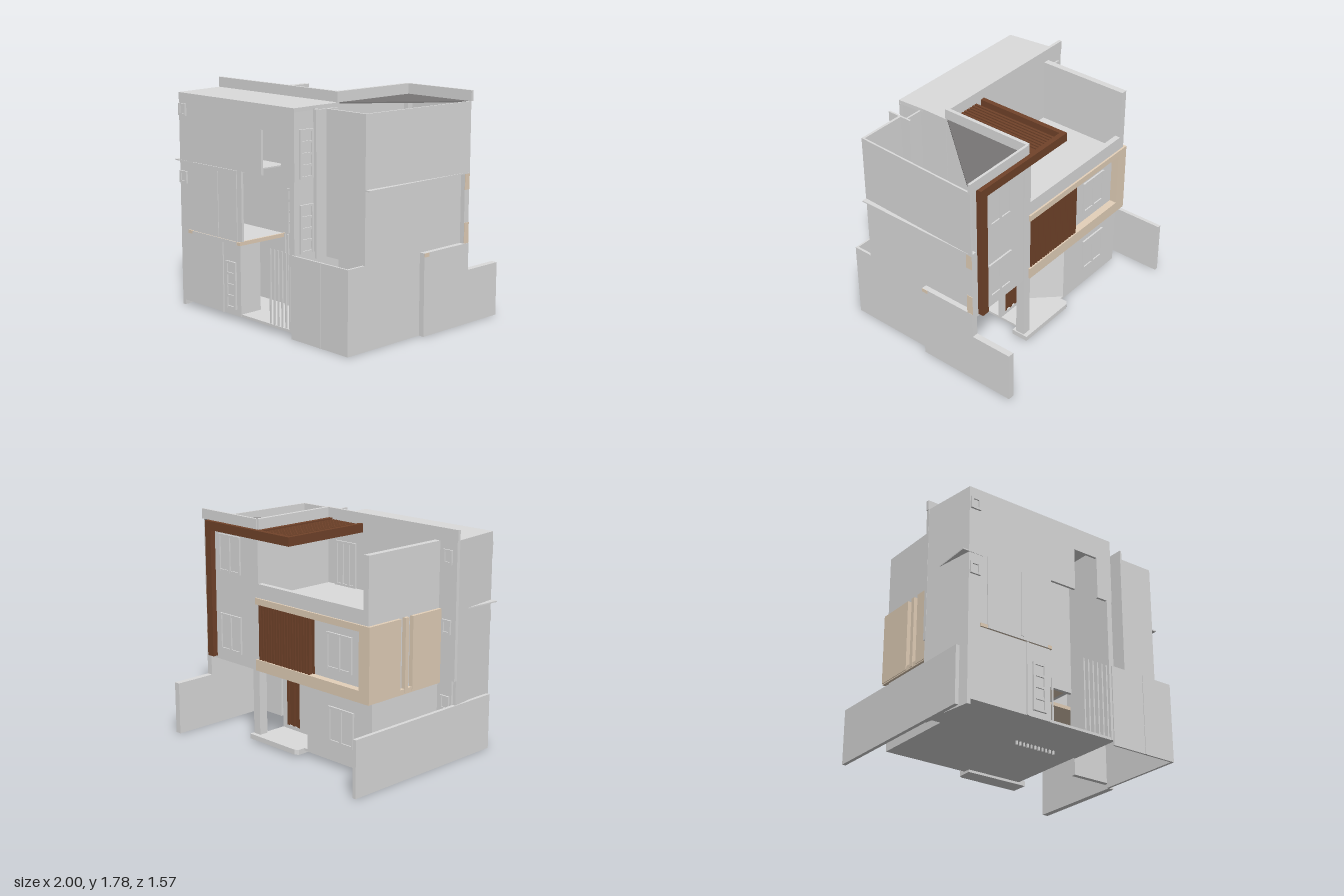
import * as THREE from 'three';

const mat = (name, color) => {
  const m = new THREE.MeshStandardMaterial({ color, side: THREE.DoubleSide });
  m.name = name;
  return m;
};

export function createModel() {
  const house = new THREE.Group();
  house.name = 'house';
  const plaster = mat('greyPlaster', 0xdcdcdc);
  const tan = mat('tanCladding', 0xe4d1ba);
  const wood = mat('brownWood', 0x71432a);
  const slate = mat('darkRoof', 0x787676);

  // box given by its extents along each axis
  const box = (name, m, x0, x1, y0, y1, z0, z1, parent = house) => {
    const mesh = new THREE.Mesh(new THREE.BoxGeometry(x1 - x0, y1 - y0, z1 - z0), m);
    mesh.position.set((x0 + x1) / 2, (y0 + y1) / 2, (z0 + z1) / 2);
    mesh.name = name;
    parent.add(mesh);
  };

  // flat polygon of [x, z] corners raised between two heights
  const prism = (name, m, pts, y0, y1) => {
    const s = new THREE.Shape(pts.map(([x, z]) => new THREE.Vector2(x, -z)));
    const g = new THREE.ExtrudeGeometry(s, { depth: y1 - y0, bevelEnabled: false });
    g.rotateX(-Math.PI / 2);
    const mesh = new THREE.Mesh(g, m);
    mesh.position.y = y0;
    mesh.name = name;
    house.add(mesh);
  };

  // framed opening with a grid of panes, built facing +z then turned
  const framed = (name, m, x, y, z, w, h, cols, rows, turn = 0) => {
    const g = new THREE.Group();
    g.name = name;
    const t = 0.018;
    box('pane', m, -w / 2, w / 2, -h / 2, h / 2, 0, 0.004, g);
    for (let i = 0; i <= cols; i++) {
      const c = -w / 2 + t / 2 + (i * (w - t)) / cols;
      box('upright', m, c - t / 2, c + t / 2, -h / 2, h / 2, 0, 0.016, g);
    }
    for (let j = 0; j <= rows; j++) {
      const c = -h / 2 + t / 2 + (j * (h - t)) / rows;
      box('rail', m, -w / 2, w / 2, c - t / 2, c + t / 2, 0, 0.014, g);
    }
    g.position.set(x, y, z);
    g.rotation.y = turn;
    house.add(g);
  };

  // ground slabs and entrance step
  box('groundSlab', plaster, -0.83, 0.36, 0.04, 0.06, -0.42, 0.31);
  box('rearSlab', plaster, -0.93, 0.36, 0.04, 0.06, 0.31, 0.76);
  prism('porchStep', plaster, [[-0.12, -0.48], [-0.09, -0.5], [0.42, -0.5], [0.42, -0.36], [-0.12, -0.36]], 0.02, 0.06);

  // boundary walls
  box('leftBoundaryWall', plaster, -1, -0.97, 0, 0.44, -0.76, 0.71);
  box('rightBoundaryLow', plaster, 0.94, 0.99, 0, 0.42, -0.79, -0.45);
  box('rightBoundaryHigh', plaster, 0.94, 0.99, 0, 0.63, -0.45, 0.04);
  box('pierCap', tan, 0.99, 0.993, 0.6, 0.63, -0.01, 0.04);
  box('rightBoundaryEnd', plaster, 0.925, 0.945, 0, 0.63, 0.04, 0.775);
  box('rearBoundaryWall', plaster, 0.36, 0.945, 0, 0.63, 0.76, 0.775);
  box('boundaryPier', plaster, 0.66, 0.67, 0, 0.63, 0.755, 0.78);

  // ground floor with recessed entrance
  box('groundFrontWall', plaster, -0.83, -0.15, 0.04, 0.6, -0.42, -0.39);
  box('groundLeftWall', plaster, -0.83, -0.79, 0.04, 0.6, -0.42, 0.31);
  prism('angledPorchWall', plaster, [[-0.15, -0.42], [0.06, -0.2], [0.06, -0.17], [-0.15, -0.39]], 0.04, 0.6);
  box('porchBackWall', plaster, 0.06, 0.17, 0.04, 0.6, -0.2, -0.17);
  box('doorJamb', plaster, 0.31, 0.36, 0.04, 0.6, -0.2, -0.17);
  box('doorLintel', plaster, 0.17, 0.31, 0.5, 0.6, -0.2, -0.17);
  box('doorSill', plaster, 0.17, 0.31, 0.06, 0.09, -0.2, -0.17);
  box('frontDoor', wood, 0.17, 0.31, 0.09, 0.5, -0.19, -0.18);
  for (const x of [0.18, 0.24, 0.3]) box('doorStile', wood, x - 0.012, x + 0.012, 0.09, 0.5, -0.2, -0.17);
  box('porchColumn', plaster, 0.34, 0.41, 0.04, 1.7, -0.465, -0.39);
  framed('groundWindow', plaster, -0.52, 0.33, -0.42, 0.26, 0.28, 2, 1, Math.PI);

  // first floor body and tan surround
  box('firstFloor', plaster, -0.82, 0.36, 0.63, 1.17, -0.42, 0.29);
  box('tanSoffit', tan, -0.85, 0.36, 0.59, 0.63, -0.48, 0.29);
  box('frameTop', tan, -0.85, 0.36, 1.12, 1.17, -0.48, -0.42);
  box('frameBottom', tan, -0.85, 0.36, 0.63, 0.68, -0.48, -0.42);
  box('frameSide', tan, -0.85, -0.75, 0.63, 1.17, -0.48, -0.42);
  for (const [z0, z1] of [[-0.48, -0.15], [-0.1, -0.065], [-0.02, 0.29]]) {
    box('sideCladding', tan, -0.855, -0.82, 0.6, 1.17, z0, z1);
  }
  for (let i = 0; i < 19; i++) {
    const x = -0.225 + i * 0.03;
    box('screenSlat', wood, x, x + 0.018, 0.68, 1.12, -0.47, -0.44);
  }
  box('screenBacking', wood, -0.235, 0.34, 0.68, 1.12, -0.428, -0.42);
  framed('firstFloorWindow', plaster, -0.5, 0.9, -0.42, 0.26, 0.28, 2, 1, Math.PI);

  // terrace walls
  box('terraceParapet', plaster, -0.83, 0.36, 1.17, 1.28, -0.465, -0.42);
  box('terraceSideWall', plaster, -0.83, -0.78, 1.17, 1.68, -0.465, 0.3);
  framed('terraceDoor', plaster, 0.14, 1.35, 0.29, 0.22, 0.36, 3, 1, Math.PI);

  // front tower, partly roofed by a triangle
  box('towerFrontWall', plaster, 0.36, 0.94, 0.58, 1.78, -0.45, -0.44);
  box('towerCoping', plaster, 0.36, 1, 1.7, 1.78, -0.46, -0.44);
  box('towerInnerWall', plaster, 0.34, 0.37, 1.17, 1.78, -0.45, 0.32);
  box('towerInnerWallLow', plaster, 0.34, 0.37, 0.59, 1.17, -0.42, 0.32);
  prism('towerSideUpper', plaster, [[0.975, -0.45], [0.99, -0.45], [0.95, 0.61], [0.935, 0.61]], 1.17, 1.7);
  box('towerSideLedge', plaster, 0.94, 0.99, 1.16, 1.17, -0.45, 0.61);
  box('towerSideLower', plaster, 0.935, 0.948, 0.63, 1.16, -0.4, 0.61);
  box('towerCorner', plaster, 0.935, 0.985, 0.63, 1.16, -0.45, -0.4);
  box('cornerTanLow', tan, 0.985, 0.989, 0.63, 0.79, -0.45, -0.4);
  box('cornerTanHigh', tan, 0.985, 0.989, 1.04, 1.16, -0.45, -0.4);
  prism('triangularRoof', slate, [[0.36, -0.45], [0.99, -0.45], [0.36, 0.31]], 1.69, 1.7);
  box('towerFloor', tan, 0.36, 0.94, 0.59, 0.62, -0.44, 0);
  box('carportWall', plaster, 0.6, 0.94, 0.04, 0.63, 0, 0.04);
  for (const y of [0.82, 1.46]) framed('towerWindow', plaster, 0.68, y, -0.45, 0.25, 0.3, 2, 1, Math.PI);

  // courtyard walls
  box('courtRearWall', plaster, 0.55, 0.94, 0.63, 1.7, 0.59, 0.61);
  box('courtFin', plaster, 0.545, 0.56, 0.63, 1.7, 0.5, 0.71);
  box('courtLink', plaster, 0.38, 0.55, 0.63, 1.68, 0.555, 0.57);

  // rear stair block: thin shell around an open stair well
  prism('rearSideWall', plaster, [[-0.995, 0.31], [-0.965, 0.31], [-0.91, 0.765], [-0.94, 0.765]], 0, 1.7);
  box('rearRightWall', plaster, 0.345, 0.375, 0.04, 1.7, 0.31, 0.745);
  prism('rearRoof', plaster, [[-0.995, 0.31], [0.36, 0.31], [0.39, 0.765], [-0.94, 0.765]], 1.67, 1.7);
  box('rearWallLower', plaster, -0.94, -0.22, 0.04, 0.63, 0.745, 0.765);
  box('rearWallMiddle', plaster, -0.94, -0.2, 0.63, 1.17, 0.745, 0.765);
  box('rearWallUpper', plaster, -0.94, 0.03, 1.17, 1.67, 0.745, 0.765);
  box('rearWallUpperRight', plaster, 0.25, 0.39, 1.17, 1.67, 0.745, 0.765);
  box('rearWallOverOpening', plaster, 0.03, 0.25, 1.51, 1.67, 0.745, 0.765);
  box('rearWallRightStrip', plaster, 0.34, 0.385, 0.04, 1.17, 0.745, 0.765);
  box('rearBackWall', plaster, -0.995, 0.36, 0.63, 1.7, 0.29, 0.32);
  box('rearBackWallLow', plaster, -0.97, 0.13, 0.04, 0.63, 0.29, 0.32);
  box('rearBackLintel', plaster, 0.13, 0.36, 0.56, 0.63, 0.29, 0.32);
  box('rearParapet', plaster, -1, 0.36, 1.7, 1.78, 0.29, 0.315);
  box('storeSideWall', plaster, -0.24, -0.22, 0.04, 0.6, 0.57, 0.745);
  box('rearFloor', plaster, -0.94, -0.225, 0.6, 0.625, 0.32, 0.745);
  prism('rearUpperFloor', plaster, [[-0.97, 0.31], [-0.2, 0.31], [-0.2, 0.745], [-0.94, 0.77], [-0.995, 0.77]], 1.16, 1.17);

  // rear trim
  box('tanLedge', tan, -0.84, -0.21, 0.6, 0.625, 0.765, 0.778);
  box('ledgeFace', plaster, -0.78, -0.25, 0.6, 0.625, 0.778, 0.781);
  box('tanLedgeReturn', tan, -0.225, -0.21, 0.6, 0.63, 0.32, 0.765);
  box('rearPanel', plaster, -0.78, -0.25, 0.625, 1.17, 0.765, 0.772);
  box('rearFin', plaster, -0.485, -0.465, 0.63, 1.14, 0.772, 0.778);
  box('rearPier', plaster, -0.435, -0.42, 0.04, 0.6, 0.765, 0.775);
  for (let i = 0; i < 11; i++) {
    const x = -0.2 + i * 0.034;
    box('stairBar', plaster, x, x + 0.012, 0.01, 0.63, 0.33, 0.342);
  }
  for (let i = 0; i < 6; i++) {
    const x = 0.1 + i * 0.043;
    box('screenBar', plaster, x, x + 0.012, 0.04, 0.63, 0.745, 0.757);
  }
  framed('rearDoor', plaster, -0.325, 0.275, 0.765, 0.115, 0.37, 1, 4);
  framed('landingDoor', plaster, -0.095, 0.81, 0.32, 0.15, 0.36, 1, 4);
  for (const y of [0.3, 0.81, 1.36]) framed('stairWindow', plaster, 0.375, y, 0.64, 0.13, 0.36, 1, 4, Math.PI / 2);
  for (const y of [1.04, 1.57]) framed('smallRearWindow', plaster, -0.89, y, 0.765, 0.085, 0.095, 1, 1);
  for (const y of [0.45, 1.04, 1.57]) framed('smallFrontWindow', plaster, -0.91, y, 0.29, 0.085, 0.11, 1, 1, Math.PI);

  // wooden portal and pergola
  box('portalPost', wood, 0.86, 0.925, 0.6, 1.7, -0.495, -0.45);
  box('portalBeam', wood, -0.04, 0.925, 1.63, 1.7, -0.495, -0.455);
  for (const x of [-0.04, 0.295]) box('pergolaBeam', wood, x, x + 0.038, 1.63, 1.7, -0.455, 0.29);
  for (let i = 0; i < 8; i++) {
    const x = 0.05 + i * 0.031;
    box('pergolaSlat', wood, x, x + 0.019, 1.65, 1.69, -0.455, 0.29);
  }
  return house;
}
